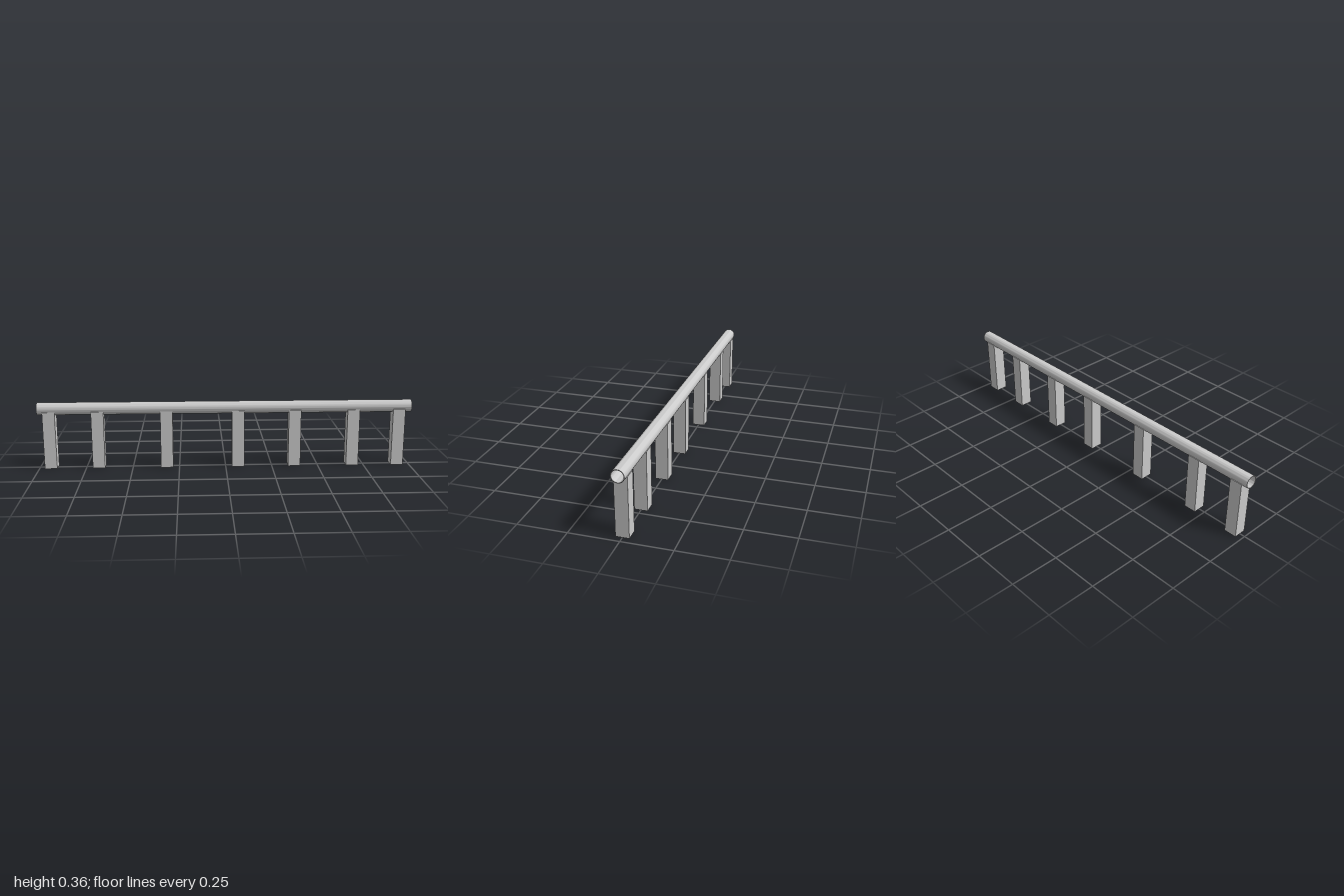
import * as THREE from 'three';
import { toCreasedNormals } from 'three/addons/utils/BufferGeometryUtils.js';

const PIPE_Y = 0.323, OUTER = 0.033, INNER = 0.0295;
const POST_TOP = 0.309, POST_WIDTH = 0.066;
const POST_X = [-0.938, -0.682, -0.316, 0.067, 0.371, 0.687, 0.933];

// Extrude a z/y profile along x, centred on x = 0
function extrudeAlongX(shape, length) {
  const geo = new THREE.ExtrudeGeometry(shape, { depth: length, bevelEnabled: false, curveSegments: 32 });
  geo.translate(0, 0, -length / 2);
  geo.rotateY(Math.PI / 2);
  return toCreasedNormals(geo, 0.6);
}

export function createModel() {
  const group = new THREE.Group();
  group.name = 'pipeRail';
  const material = new THREE.MeshStandardMaterial({ color: 0xcccccc });

  // Hollow pipe, open at both ends
  const ring = new THREE.Shape().absarc(0, PIPE_Y, OUTER, 0, Math.PI * 2, false);
  ring.holes.push(new THREE.Path().absarc(0, PIPE_Y, INNER, 0, Math.PI * 2, true));
  const pipe = new THREE.Mesh(extrudeAlongX(ring, 2), material);
  pipe.name = 'pipe';
  group.add(pipe);

  // Square posts, hollowed on top to cradle the pipe
  const half = POST_WIDTH / 2;
  const a = Math.asin((PIPE_Y - POST_TOP) / OUTER);
  const profile = new THREE.Shape();
  profile.moveTo(-half, 0);
  profile.lineTo(half, 0);
  profile.lineTo(half, POST_TOP);
  profile.absarc(0, PIPE_Y, OUTER, -a, a - Math.PI, true);
  profile.lineTo(-half, POST_TOP);
  profile.closePath();
  const postGeo = extrudeAlongX(profile, POST_WIDTH);

  POST_X.forEach((x, i) => {
    const post = new THREE.Mesh(postGeo, material);
    post.name = `post${i + 1}`;
    post.position.x = x;
    group.add(post);
  });

  return group;
}
